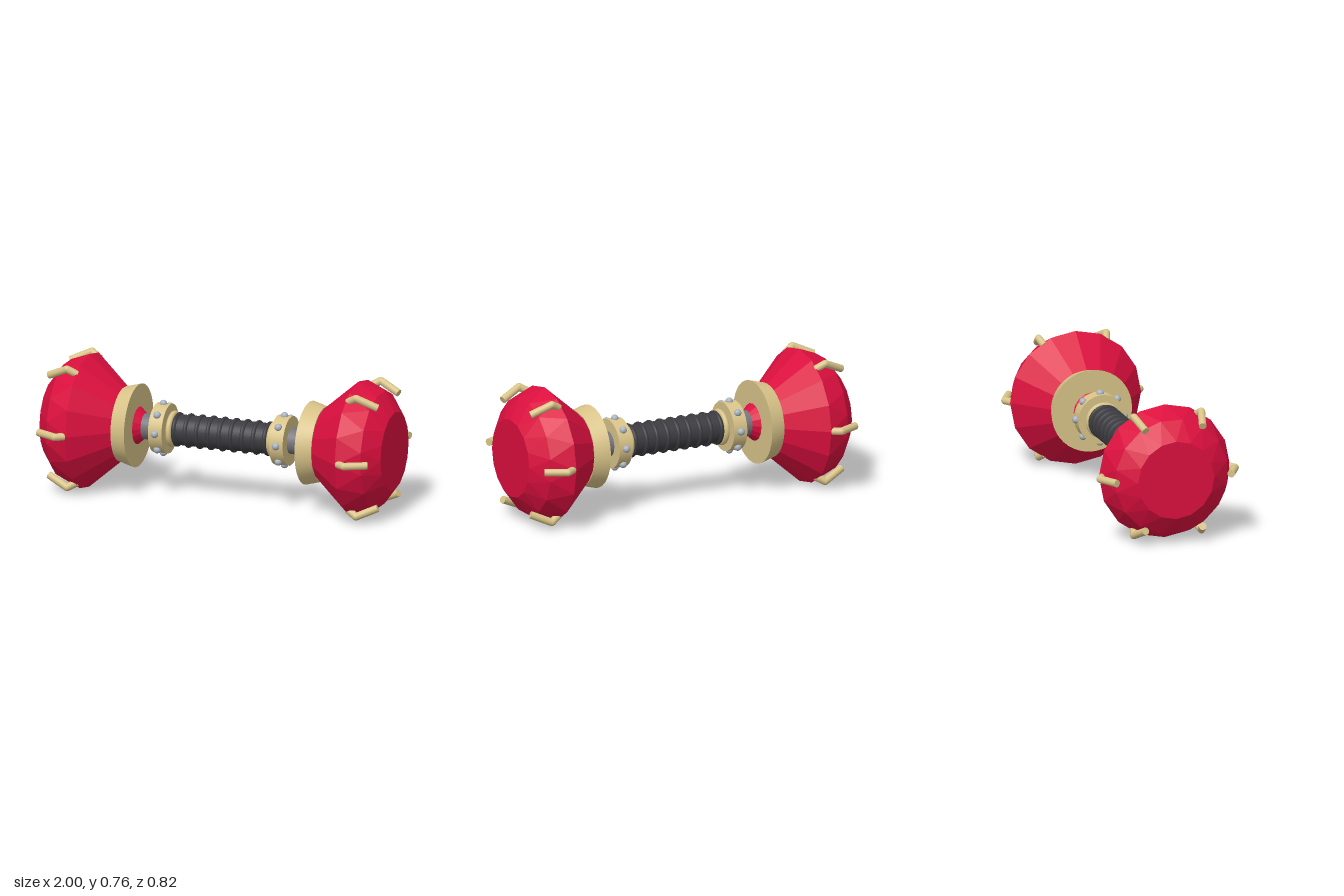
import * as THREE from 'three';
import { toCreasedNormals } from 'three/addons/utils/BufferGeometryUtils.js';
import { ConvexGeometry } from 'three/addons/geometries/ConvexGeometry.js';

const material = (name, color) => {
  const m = new THREE.MeshStandardMaterial({ color });
  m.name = name;
  return m;
};

function add(parent, name, geometry, mat) {
  const mesh = new THREE.Mesh(geometry, mat);
  mesh.name = name;
  parent.add(mesh);
  return mesh;
}

// Profile given as [radius, distance along the bar]
const lathe = (profile, sides, crease) => toCreasedNormals(
  new THREE.LatheGeometry(profile.map(([r, y]) => new THREE.Vector2(r, y)), sides), crease);

// Ring of points around the bar, turned by a fraction of one side
const ringPoints = (r, y, turn) => Array.from({ length: 16 }, (_, i) => {
  const a = (i + turn) * Math.PI / 8;
  return new THREE.Vector3(Math.sin(a) * r, y, Math.cos(a) * r);
});

function torus(parent, name, radius, tube, y, mat) {
  const ring = add(parent, name, new THREE.TorusGeometry(radius, tube, 10, 32), mat);
  ring.rotation.x = Math.PI / 2;
  ring.position.y = y;
}

// Round rod between two points
function rod(parent, name, a, b, radius, mat) {
  const dir = b.clone().sub(a);
  const mesh = add(parent, name, new THREE.CylinderGeometry(radius, radius, dir.length(), 16), mat);
  mesh.position.copy(a).add(b).multiplyScalar(0.5);
  mesh.quaternion.setFromUnitVectors(new THREE.Vector3(0, 1, 0), dir.normalize());
}

export function createModel() {
  const red = material('crimson', 0xdc0f3e);
  const gold = material('pale gold', 0xd8c388);
  const dark = material('charcoal', 0x3c3b40);
  const steel = material('grey steel', 0x77767e);
  const silver = material('silver', 0xaab4c0);

  const model = new THREE.Group();
  model.name = 'dumbbell';

  // Handle: core rod, grip and ridges, built along y
  const handle = new THREE.Group();
  handle.name = 'handle';
  handle.rotation.z = -Math.PI / 2;
  handle.position.y = 0.38;
  model.add(handle);
  add(handle, 'coreRod', new THREE.CylinderGeometry(0.072, 0.072, 1, 24), steel);
  add(handle, 'grip', new THREE.CylinderGeometry(0.085, 0.085, 0.58, 32), dark);
  for (let i = -4; i <= 4; i++) torus(handle, 'gripRidge', 0.084, 0.012, i * 0.0665, dark);

  // Each end is built along +y and turned to point outward
  for (const side of [1, -1]) {
    const end = new THREE.Group();
    end.name = side > 0 ? 'leftEnd' : 'rightEnd';
    end.rotation.z = -side * Math.PI / 2;
    end.position.y = 0.38;
    model.add(end);

    // Faceted head: outer crown with a half-turned middle ring, and inner cone
    add(end, 'crown', new ConvexGeometry([
      ...ringPoints(0.378, 0.79, 0), ...ringPoints(0.326, 0.92, 0.5), ...ringPoints(0.22, 1, 0),
    ]), red);
    add(end, 'innerCone', lathe(
      [[0, 0.46], [0.07, 0.46], [0.105, 0.5], [0.205, 0.59], [0.378, 0.79]], 16, 0.05), red);

    // Flared collar around the cone
    add(end, 'collar', lathe(
      [[0.1, 0.53], [0.1, 0.5], [0.232, 0.5], [0.208, 0.588], [0.15, 0.588]], 40, 0.6), gold);

    // Studded band and the slim ring beside the grip
    const band = add(end, 'band', new THREE.CylinderGeometry(0.138, 0.138, 0.08, 32), gold);
    band.position.y = 0.355;
    for (let i = 0; i < 8; i++) {
      const a = i * Math.PI / 4;
      const stud = add(end, 'stud', new THREE.SphereGeometry(0.021, 14, 10), silver);
      stud.position.set(Math.sin(a) * 0.139, 0.355, Math.cos(a) * 0.139);
    }
    torus(end, 'gripRing', 0.086, 0.016, 0.295, gold);

    // Six bent prongs around the crown
    for (let i = 0; i < 6; i++) {
      const prong = new THREE.Group();
      prong.name = 'prong';
      prong.rotation.y = i * Math.PI / 3;
      end.add(prong);
      const tip = new THREE.Vector3(0, 0.963, 0.329);
      const bend = new THREE.Vector3(0, 0.847, 0.389);
      const root = new THREE.Vector3(0, 0.795, 0.355);
      rod(prong, 'prongTip', bend, tip, 0.021, gold);
      rod(prong, 'prongRoot', root, bend, 0.021, gold);
      add(prong, 'prongBend', new THREE.SphereGeometry(0.021, 16, 10), gold).position.copy(bend);
    }
  }
  return model;
}
